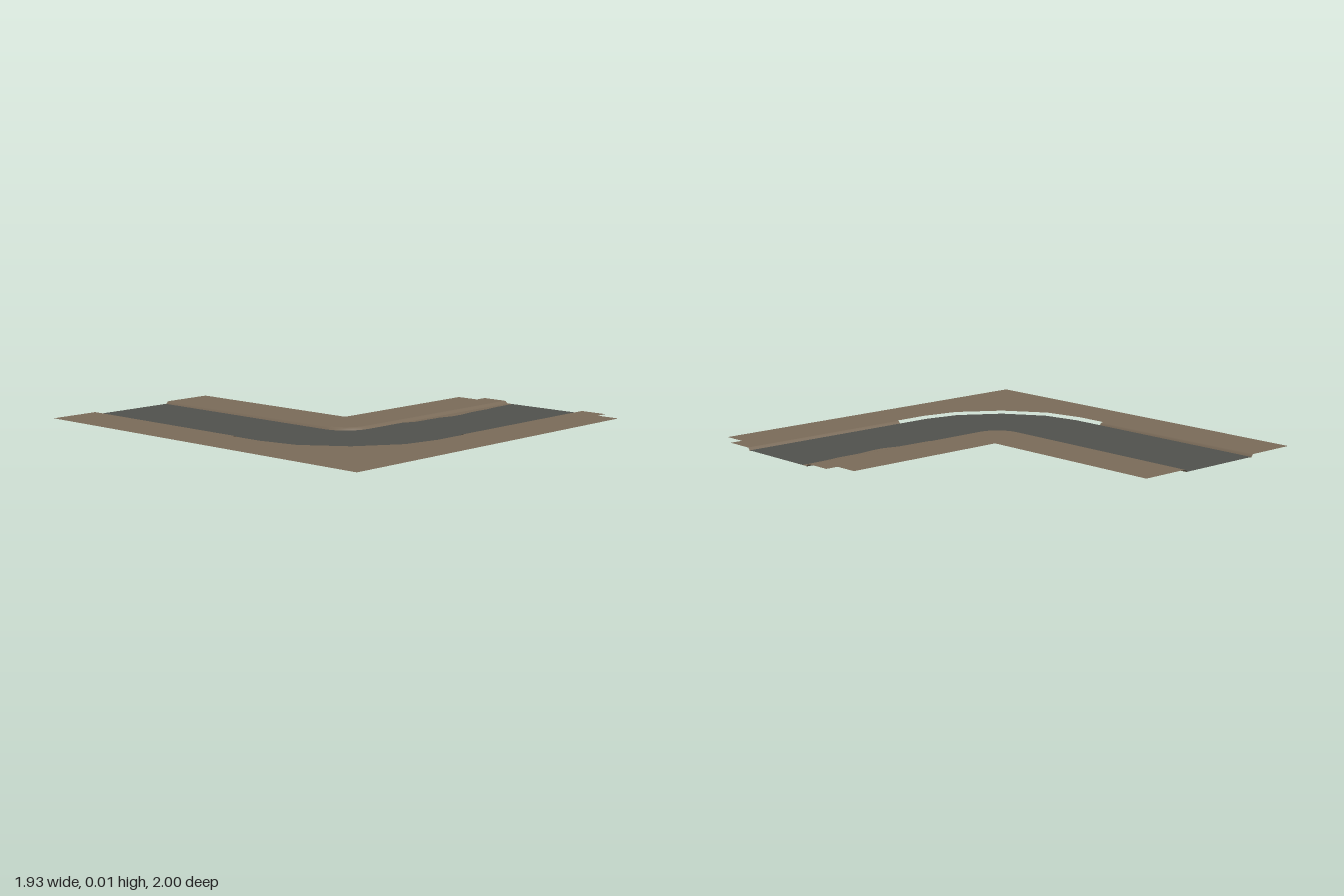
import * as THREE from 'three';

const TOP = 0.015;    // height of the dirt banks
const ROAD = 0.003;   // height of the road surface
const END = 0.965;    // east end of the tile

// Flat sheet at height y from a list of [x, z] corners
function sheet(name, points, y, material) {
  const shape = new THREE.Shape(points.map(([x, z]) => new THREE.Vector2(x, -z)));
  const geometry = new THREE.ShapeGeometry(shape);
  geometry.rotateX(-Math.PI / 2);
  geometry.translate(0, y, 0);
  const mesh = new THREE.Mesh(geometry, material);
  mesh.name = name;
  return mesh;
}

// Sloping strip joining rows of [x, y, z] points, from the lip down to the toe
function bank(name, rows, material) {
  const n = rows[0].length;
  const index = [];
  for (let r = 0; r < rows.length - 1; r++) {
    for (let i = 0; i < n - 1; i++) {
      const a = r * n + i, b = a + 1, c = a + n, d = c + 1;
      index.push(a, c, b, b, c, d);
    }
  }
  const geometry = new THREE.BufferGeometry();
  geometry.setAttribute('position', new THREE.Float32BufferAttribute(rows.flat(2), 3));
  geometry.setIndex(index);
  geometry.computeVertexNormals();
  const mesh = new THREE.Mesh(geometry, material);
  mesh.name = name;
  return mesh;
}

// Inside corner path: straight south, round the bend, straight east
function innerPath(radius, endX) {
  const points = [[-0.1 - radius, -1]];
  for (let i = 0; i <= 8; i++) {
    const a = (i / 8) * Math.PI / 2;
    points.push([-0.1 - radius * Math.cos(a), 0.125 + radius * Math.sin(a)]);
  }
  points.push([endX, 0.125 + radius]);
  return points;
}

export function createModel() {
  const dirt = new THREE.MeshStandardMaterial({ color: 0x796a58, side: THREE.DoubleSide });
  dirt.name = 'dirt brown';
  const asphalt = new THREE.MeshStandardMaterial({ color: 0x50514c, side: THREE.DoubleSide });
  asphalt.name = 'asphalt grey';

  const group = new THREE.Group();
  group.name = 'roadCorner';

  // Faceted outside bend: road edge, and the ground edge beyond a narrow gap
  const roadBend = [[-0.695, 0], [-0.695, 0.17], [-0.66, 0.36], [-0.53, 0.555],
    [-0.33, 0.687], [-0.15, 0.722], [0.03, 0.722]];
  const groundBend = [[-0.722, 0], [-0.722, 0.17], [-0.683, 0.37], [-0.543, 0.572],
    [-0.338, 0.71], [-0.15, 0.745], [0.03, 0.745]];

  // Ragged line where dirt has spilled onto the road
  const spill = [[0.15, 0.272], [0.2, 0.3], [0.38, 0.305], [0.46, 0.326], [0.53, 0.326],
    [0.62, 0.312], [0.75, 0.312], [0.83, 0.302], [END, 0.3]];

  group.add(sheet('road', [[-0.695, -1], ...innerPath(0.147, 0.15).slice(0, -1),
    ...spill, [END, 0.722], ...[...roadBend].reverse()], ROAD, asphalt));
  group.add(sheet('spilledDirt', [...spill, [END, 0.272]], ROAD, dirt));

  // Ground on the two sides of the road, with stepped east ends
  group.add(sheet('innerGround', [...innerPath(0.125, END), [END, 0.12], [0.9, 0.12],
    [0.9, 0], [0.03, 0], [0.03, -1]], TOP, dirt));
  group.add(sheet('outerGround', [[-0.97, -1], [-0.97, 1], [0.9, 1], [0.9, 0.88],
    [END, 0.88], [END, 0.737], [0.03, 0.737], ...[...groundBend].reverse(),
    [-0.712, 0], [-0.712, -1]], TOP, dirt));

  // Rounded slopes down to the road: [distance from lip, height]
  const slope = [[0, TOP], [0.008, 0.013], [0.015, 0.007], [0.022, 0]];
  group.add(bank('innerBank', slope.map(([d, y]) =>
    innerPath(0.125 + d, END).map(([x, z]) => [x, y, z])), dirt));
  group.add(bank('westBank', slope.map(([d, y]) =>
    [[-0.712 + d * 0.8, y, 0], [-0.712 + d * 0.8, y, -1]]), dirt));
  group.add(bank('southBank', slope.map(([d, y]) =>
    [[0.03, y, 0.737 - d * 0.7], [END, y, 0.737 - d * 0.7]]), dirt));

  return group;
}
